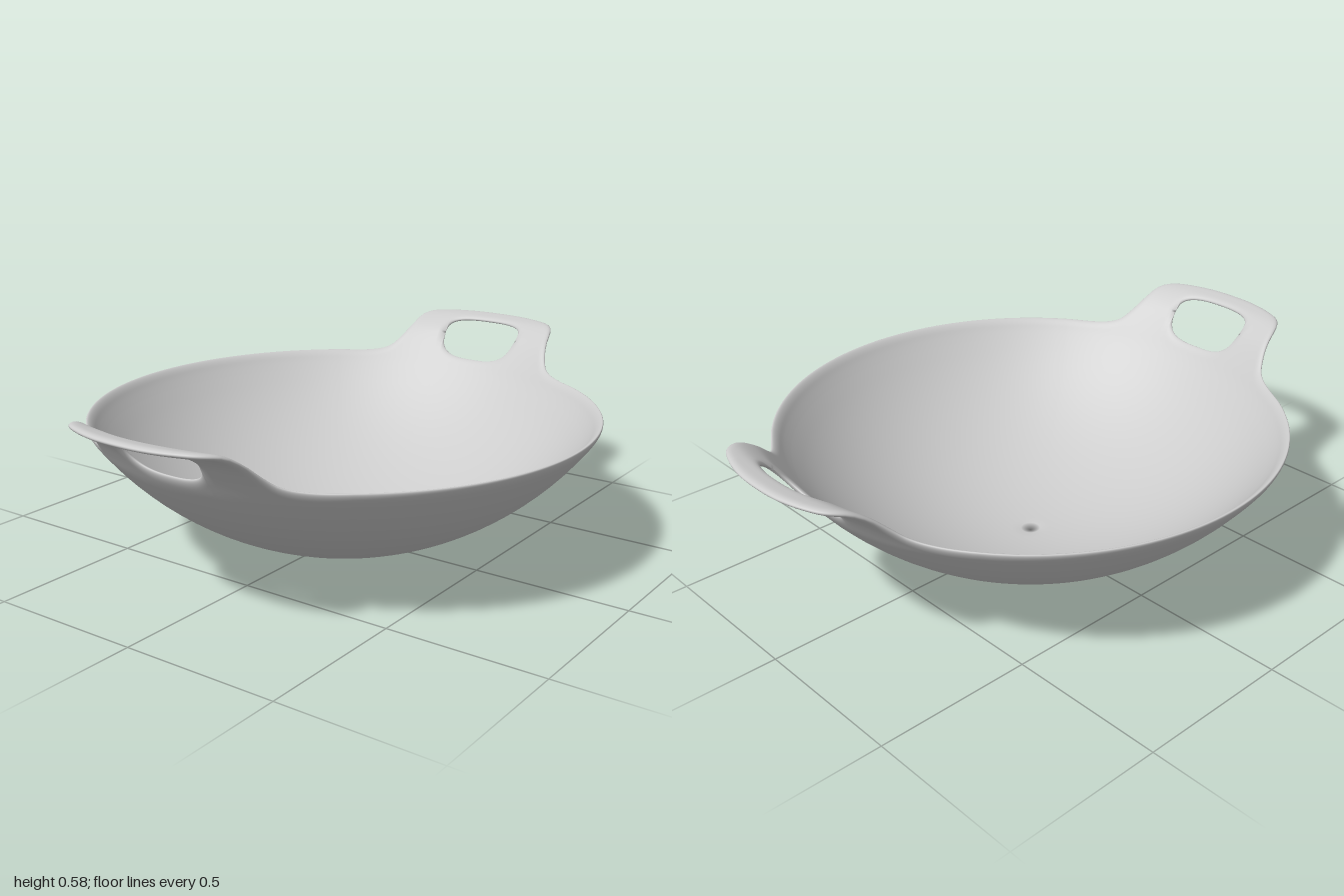
import * as THREE from 'three';
import { mergeVertices } from 'three/addons/utils/BufferGeometryUtils.js';

const HALF = 0.009;   // half the wall thickness
const ROUND = 0.018;  // width of the rounded edges
const INNER = 0.76;   // radius where the plain bowl ends
const HOLE = { r: 0.868, half: 0.061, angle: 0.168 };

const clamp01 = (t) => Math.min(1, Math.max(0, t));
const sphere = (r) => 0.989 - Math.sqrt(0.9604 - r * r);

// Smooth curve through a short list of [x, y] points
function smoothCurve(pts) {
  const slope = (i) => {
    const a = pts[Math.max(0, i - 1)], b = pts[Math.min(pts.length - 1, i + 1)];
    return (b[1] - a[1]) / (b[0] - a[0]);
  };
  return (x) => {
    let i = 0;
    while (i < pts.length - 2 && x > pts[i + 1][0]) i++;
    const [x0, y0] = pts[i], [x1, y1] = pts[i + 1];
    const w = x1 - x0, t = clamp01((x - x0) / w), t2 = t * t, t3 = t2 * t;
    return (2 * t3 - 3 * t2 + 1) * y0 + (t3 - 2 * t2 + t) * w * slope(i)
      + (3 * t2 - 2 * t3) * y1 + (t3 - t2) * w * slope(i + 1);
  };
}

// Height of the wall by radius: spherical bowl, then the flaring handles
const flare = smoothCurve([[0.74, sphere(0.74)], [0.78, sphere(0.78)], [0.81, 0.437],
  [0.85, 0.489], [0.88, 0.521], [0.93, 0.555], [0.97, 0.566], [1, 0.569]]);
const height = (r) => (r < INNER ? sphere(r) : flare(r));

// Plan outline: radius by angle from the handle axis
const outline = smoothCurve([[-0.1, 0.998], [0, 1], [0.1, 0.998], [0.2, 0.985], [0.25, 0.97],
  [0.29, 0.937], [0.325, 0.886], [0.36, 0.851], [0.41, 0.823], [0.5, 0.811], [0.65, 0.81], [1.6, 0.81]]);

// Distance from a point to the nearest edge, either the outline or the grip hole
function edgeDistance(r, q) {
  const bend = (outline(q + 0.001) - outline(q - 0.001)) / 0.002 / r;
  const dOut = (outline(q) - r) / Math.hypot(1, bend);
  const u = q / HOLE.angle, v = Math.abs(r - HOLE.r) / HOLE.half;
  const s = Math.cbrt(u ** 3 + v ** 3);
  const g = Math.hypot((u / s) ** 2 / (HOLE.angle * r), (v / s) ** 2 / HOLE.half);
  return Math.min(dOut, r < 0.5 ? 1 : (s - 1) / g);
}

// Point on the inner (side 1) or outer (side -1) face of the wall
function wallPoint(r, col, side) {
  const d = edgeDistance(r, col.q);
  const t = d < 1e-6 ? 0 : HALF * Math.sqrt(1 - (1 - clamp01(d / ROUND)) ** 2);
  const k = r < 0.001 ? 0 : (height(r + 0.001) - height(r - 0.001)) / 0.002;
  const n = Math.hypot(1, k);
  const rr = r - side * t * k / n;
  return [rr * col.cos, height(r) + side * t / n, rr * col.sin];
}

// Angular columns, closer together at the hole ends and shoulders
function makeColumns() {
  const quarter = [];
  for (let i = 0; i < 14; i++) quarter.push(HOLE.angle * Math.sin(i / 14 * Math.PI / 2));
  for (let i = 0; i < 32; i++) quarter.push(HOLE.angle + (0.65 - HOLE.angle) * i / 32);
  for (let i = 0; i <= 24; i++) quarter.push(0.65 + (Math.PI / 2 - 0.65) * i / 24);
  const back = quarter.slice(1, -1).reverse();
  const make = (q, sx, sz) => ({ q, cos: sx * Math.cos(q), sin: sz * Math.sin(q) });
  return [
    ...quarter.map((q) => make(q, 1, 1)), ...back.map((q) => make(q, -1, 1)),
    make(0, -1, 1),
    ...quarter.slice(1).map((q) => make(q, -1, -1)), ...back.map((q) => make(q, 1, -1)),
  ];
}

// Radii along one column for the bowl, the strip up to the hole and the strip beyond it
function columnStrips(q) {
  const s = clamp01((q - 0.2) / 0.2);
  const mid = HOLE.r - 0.083 * s * s * (3 - 2 * s);
  const u = q / HOLE.angle;
  const gap = u < 0.9999 ? HOLE.half * Math.cbrt(1 - u ** 3) : 0;
  const spread = (a, b, n, ease) =>
    Array.from({ length: n + 1 }, (_, i) => (i === n ? b : a + (b - a) * ease(i / n)));
  return [
    spread(0, INNER, 24, (t) => t),
    spread(INNER, mid - gap, 12, (t) => Math.sin(t * Math.PI / 2)),
    spread(mid + gap, outline(q), 16, (t) => (1 - Math.cos(t * Math.PI)) / 2),
  ];
}

// Whole wall as one welded surface so shading runs smoothly into the handles
function makeWall() {
  const cols = makeColumns();
  const pos = [], index = [];
  for (const side of [1, -1]) {
    for (let strip = 0; strip < 3; strip++) {
      const start = pos.length / 3;
      let rows = 0;
      for (const col of cols) {
        const radii = columnStrips(col.q)[strip];
        rows = radii.length;
        for (const r of radii) pos.push(...wallPoint(r, col, side));
      }
      for (let j = 0; j < cols.length; j++) {
        for (let i = 0; i < rows - 1; i++) {
          const a = start + j * rows + i, b = start + ((j + 1) % cols.length) * rows + i;
          if (side > 0) index.push(a, b, b + 1, a, b + 1, a + 1);
          else index.push(a, b + 1, b, a, a + 1, b + 1);
        }
      }
    }
  }
  let geo = new THREE.BufferGeometry();
  geo.setAttribute('position', new THREE.Float32BufferAttribute(pos, 3));
  geo.setIndex(index);
  geo = mergeVertices(geo, 1e-5);
  geo.computeVertexNormals();
  return geo;
}

export function createModel() {
  const group = new THREE.Group();
  group.name = 'wok';
  const material = new THREE.MeshStandardMaterial({ color: 0xcccccc, side: THREE.DoubleSide });
  const wall = makeWall();
  const p = wall.attributes.position, idx = wall.index.array;

  // Sort the faces into the bowl and its two handles
  const parts = { bowl: [], leftHandle: [], rightHandle: [] };
  for (let i = 0; i < idx.length; i += 3) {
    const [a, b, c] = [idx[i], idx[i + 1], idx[i + 2]];
    if (a === b || b === c || a === c) continue;
    const x = (p.getX(a) + p.getX(b) + p.getX(c)) / 3;
    const z = (p.getZ(a) + p.getZ(b) + p.getZ(c)) / 3;
    const onHandle = Math.hypot(x, z) > 0.78 && Math.abs(z) < 0.42;
    parts[onHandle ? (x > 0 ? 'leftHandle' : 'rightHandle') : 'bowl'].push(a, b, c);
  }
  for (const [name, faces] of Object.entries(parts)) {
    const geo = new THREE.BufferGeometry();
    geo.setAttribute('position', p);
    geo.setAttribute('normal', wall.attributes.normal);
    geo.setIndex(faces);
    const mesh = new THREE.Mesh(geo, material);
    mesh.name = name;
    group.add(mesh);
  }
  return group;
}
